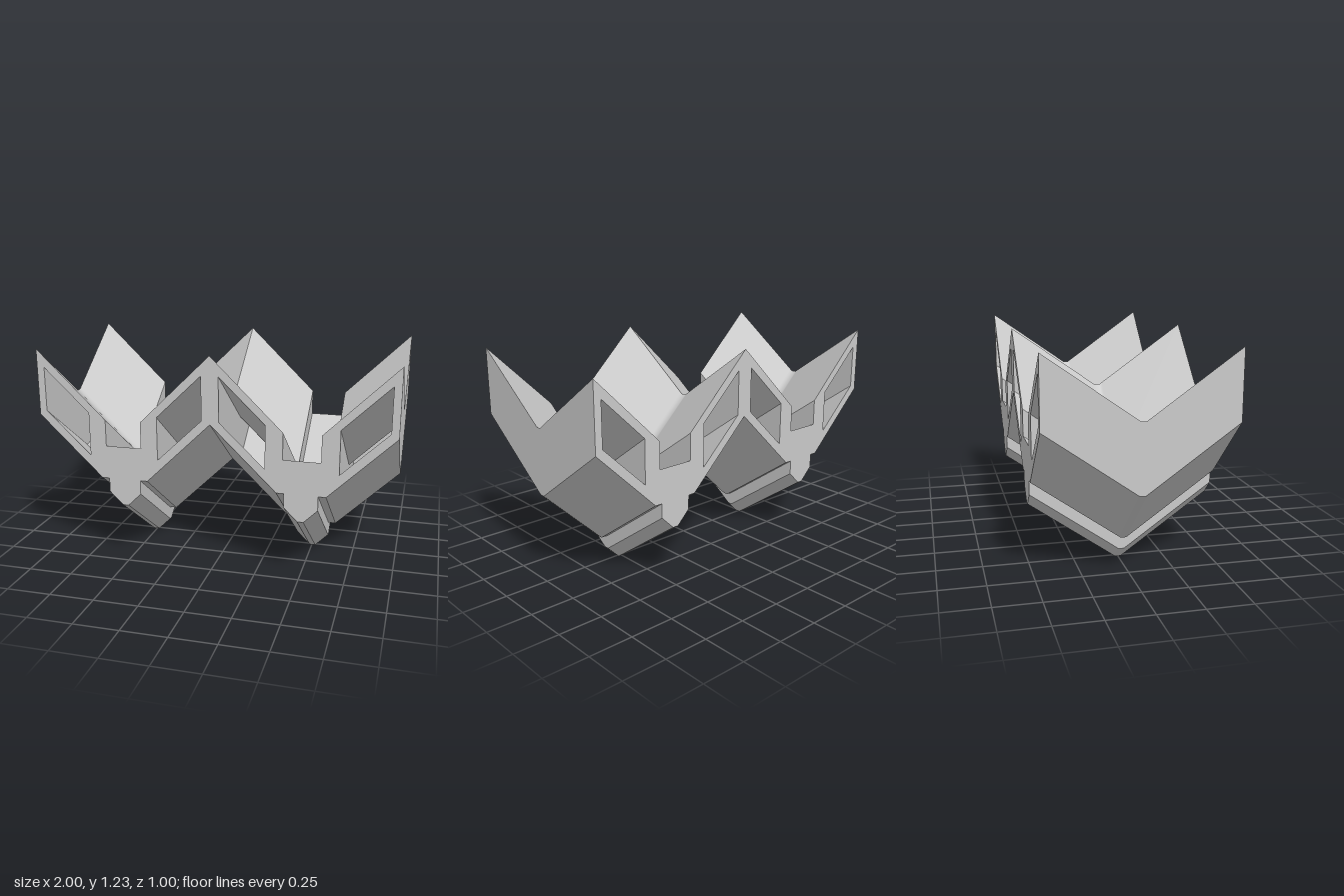
import * as THREE from 'three';
import { toCreasedNormals } from 'three/addons/utils/BufferGeometryUtils.js';

const RISE = 0.345;      // how far both ends rise above the middle
const CENTRE = 0.5035;   // distance of each bay's valley from the middle of the model
const HALF_DEPTH = 0.502;
const FLAT = 0.015;      // half width of the flat strip at the fold
const BLEND = 0.03;      // the soft shading at the fold ends here

// Half of the bay section at its ends, from the top centre round to the bottom centre
const halfSection = (width) => [
  [0.103, 0.69], [0.103, 0.84],
  [width, 0.84 + (width - 0.103) * 0.975], [width, 0.5 + (width - 0.135) * 0.965],
  [0.135, 0.5], [0.093, 0.5], [0.093, 0.42], [0.017, 0.345],
];
// Slanted opening, counter-clockwise
const opening = [[0.2, 0.63], [0.455, 0.873], [0.455, 1.12], [0.2, 0.875]];

const points = (list) => list.map(([x, y]) => new THREE.Vector2(x, y));
const mirrored = (list) => list.map(([x, y]) => [-x, y]).reverse();

function bayGeometry() {
  // The inner half reaches x = 0, the outer half x = -1
  const shape = new THREE.Shape(points([
    ...halfSection(CENTRE), ...mirrored(halfSection(1 - CENTRE)),
  ]));
  shape.holes.push(new THREE.Path(points(opening)), new THREE.Path(points(mirrored(opening))));

  const rings = [-HALF_DEPTH, -BLEND, -FLAT, FLAT, BLEND, HALF_DEPTH];
  const steps = rings.length - 1;
  const geometry = new THREE.ExtrudeGeometry(shape, { depth: steps, steps, bevelEnabled: false });

  // Place the rings along z and lower them towards the middle, folding the bay into a V
  const pos = geometry.attributes.position;
  for (let i = 0; i < pos.count; i++) {
    const z = rings[Math.round(pos.getZ(i))];
    const drop = RISE * (HALF_DEPTH - Math.abs(z)) / (HALF_DEPTH - FLAT);
    pos.setXYZ(i, pos.getX(i), pos.getY(i) - drop, z);
  }
  return toCreasedNormals(geometry, THREE.MathUtils.degToRad(30));
}

export function createModel() {
  const group = new THREE.Group();
  group.name = 'foldedBlock';
  const grey = new THREE.MeshStandardMaterial({ color: 0xcacaca });
  grey.name = 'light grey';

  // Two V bays side by side, the second turned to face the first
  const geometry = bayGeometry();
  for (const [name, side] of [['rightBay', -1], ['leftBay', 1]]) {
    const bay = new THREE.Mesh(geometry, grey);
    bay.name = name;
    bay.position.x = side * CENTRE;
    bay.rotation.y = side > 0 ? Math.PI : 0;
    group.add(bay);
  }
  return group;
}
